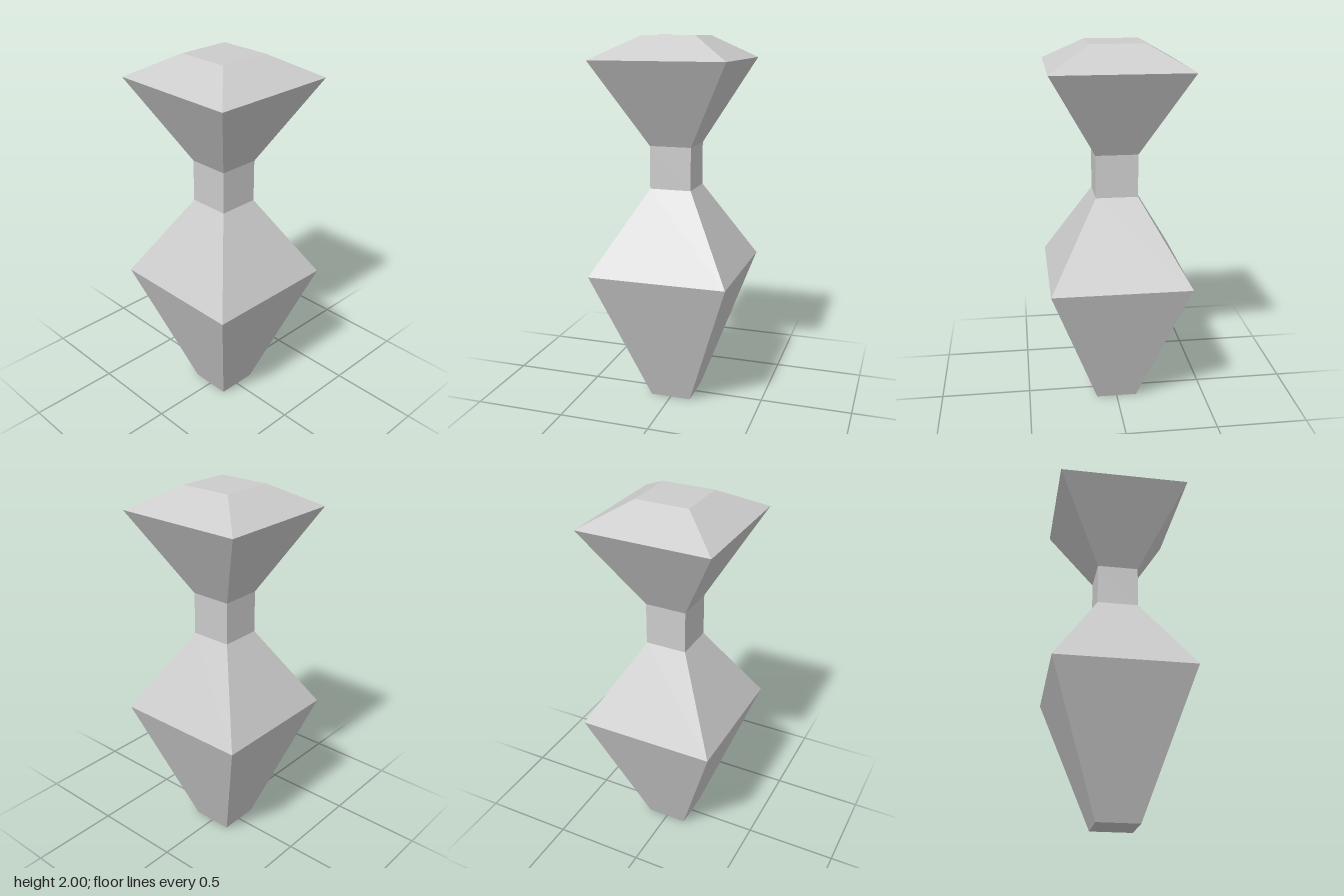
import * as THREE from 'three';

const material = new THREE.MeshStandardMaterial({ color: 0xcccccc, flatShading: true });

// Square turned section: profile of [half width, height], bottom to top
function squareSection(name, profile) {
  const points = profile.map(([half, y]) => new THREE.Vector2(half * Math.SQRT2, y));
  const geometry = new THREE.LatheGeometry(points, 4, Math.PI / 4).toNonIndexed();
  geometry.computeVertexNormals();
  const mesh = new THREE.Mesh(geometry, material);
  mesh.name = name;
  return mesh;
}

export function createModel() {
  const group = new THREE.Group();
  group.name = 'squareBaluster';
  group.add(
    // tapered body, closed underneath
    squareSection('body', [[0, 0], [0.113, 0], [0.373, 0.755]]),
    // sloping shoulder up to the neck
    squareSection('shoulder', [[0.373, 0.755], [0.113, 1.2]]),
    squareSection('neck', [[0.113, 1.2], [0.113, 1.43]]),
    // flared head
    squareSection('head', [[0.113, 1.43], [0.358, 1.88]]),
    // bevelled cap with a flat top
    squareSection('cap', [[0.358, 1.88], [0.144, 2], [0, 2]])
  );
  return group;
}
